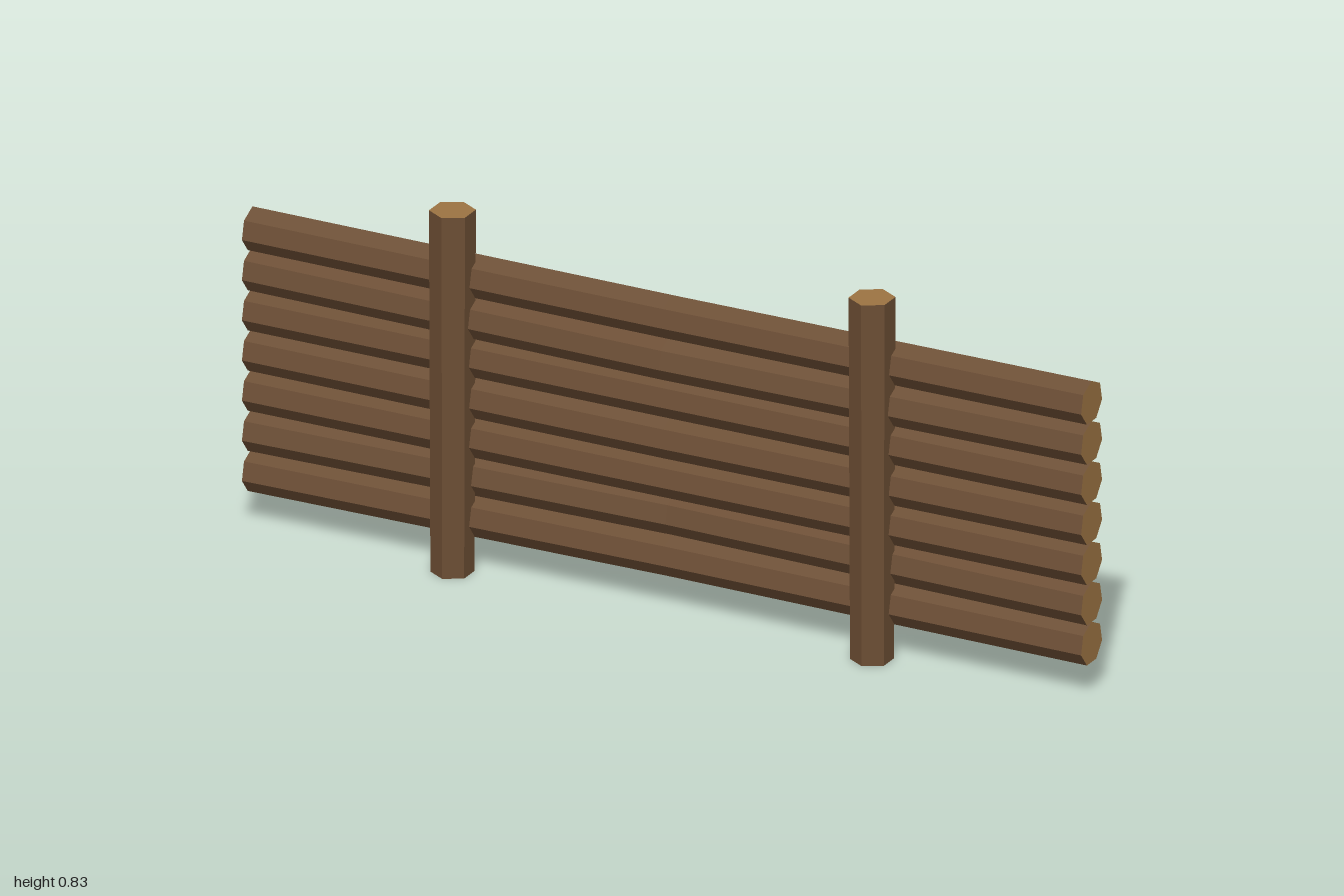
import * as THREE from 'three';

const bark = new THREE.MeshStandardMaterial({ color: 0x6b4d33 });
bark.name = 'bark';
const cutWood = new THREE.MeshStandardMaterial({ color: 0x9b7342 });
cutWood.name = 'cutWood';

// Faceted normals; the side, top and bottom material groups are kept
function faceted(geometry) {
  const flat = geometry.toNonIndexed();
  flat.computeVertexNormals();
  return flat;
}

// Seven-sided log along x, its middle ring bent by (dy, dz)
function makeLog(y, dy, dz) {
  const geometry = new THREE.CylinderGeometry(0.0485, 0.0485, 2, 7, 2, false, -Math.PI / 2);
  geometry.rotateZ(-Math.PI / 2);
  const p = geometry.attributes.position;
  for (let i = 0; i < p.count; i++) {
    if (Math.abs(p.getX(i)) < 0.1) {
      p.setY(i, p.getY(i) + dy);
      p.setZ(i, p.getZ(i) + dz);
    }
  }
  const log = new THREE.Mesh(faceted(geometry), [bark, cutWood, cutWood]);
  log.position.set(0, y, -0.0135);
  return log;
}

// Six-sided upright post with a cut top
function makePost(x) {
  const geometry = new THREE.CylinderGeometry(0.0495, 0.0465, 0.828, 6);
  const post = new THREE.Mesh(faceted(geometry), [bark, cutWood, bark]);
  post.position.set(x, 0.414, 0.0305);
  return post;
}

export function createModel() {
  const fence = new THREE.Group();
  fence.name = 'logFence';

  // Stacked logs, bottom to top: bend of each one's middle in y and z
  const bends = [
    [0.004, -0.003], [0.001, -0.018], [0, 0], [-0.003, 0],
    [0.001, 0.003], [-0.002, 0.012], [-0.003, 0],
  ];
  bends.forEach(([dy, dz], i) => {
    const log = makeLog(0.119 + i * 0.092, dy, dz);
    log.name = `log${i + 1}`;
    fence.add(log);
  });

  // Front posts
  for (const side of [-1, 1]) {
    const post = makePost(side * 0.5);
    post.name = side > 0 ? 'leftPost' : 'rightPost';
    fence.add(post);
  }
  return fence;
}
